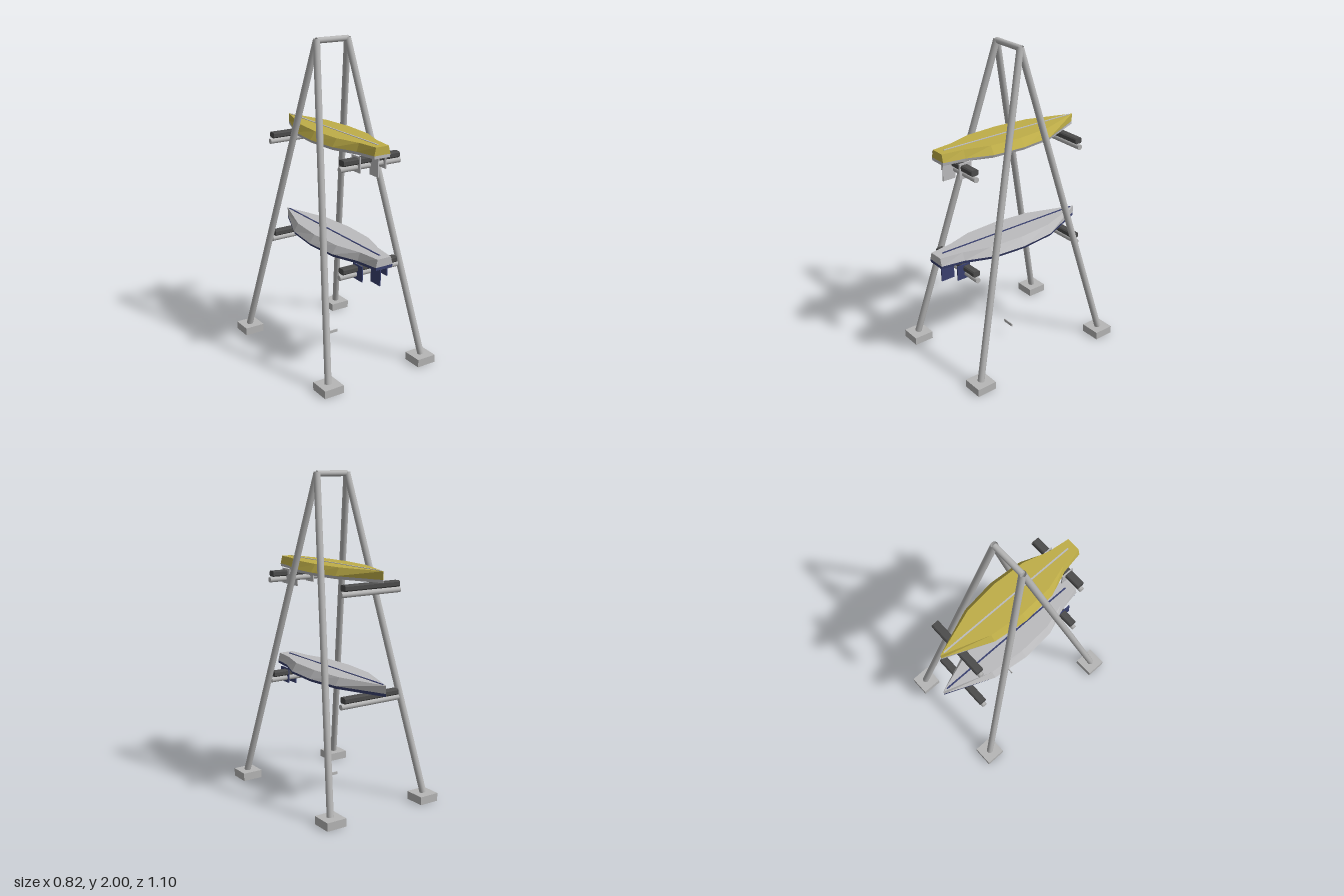
import * as THREE from 'three';

const mat = (name, color, side = THREE.FrontSide) => {
  const m = new THREE.MeshStandardMaterial({ color, side });
  m.name = name;
  return m;
};

export function createModel() {
  const steel = mat('steel grey', 0xb6b6b6, THREE.DoubleSide);
  const foam = mat('dark foam', 0x4c4c4c);
  const yellow = mat('board yellow', 0xbfae48);
  const pale = mat('board grey', 0xbcbcbe);
  const navy = mat('board navy', 0x3a4170);

  const root = new THREE.Group();
  root.name = 'boardRack';
  const add = (parent, name, geometry, material, x = 0, y = 0, z = 0) => {
    const mesh = new THREE.Mesh(geometry, material);
    mesh.name = name;
    mesh.position.set(x, y, z);
    parent.add(mesh);
    return mesh;
  };

  // Straight tube between two points
  const tube = (parent, name, a, b, r, open) => {
    const dir = b.clone().sub(a);
    const m = add(parent, name, new THREE.CylinderGeometry(r, r, dir.length(), 16, 1, open), steel);
    m.position.copy(a).add(b).multiplyScalar(0.5);
    m.quaternion.setFromUnitVectors(new THREE.Vector3(0, 1, 0), dir.normalize());
  };

  // Frame: four splayed legs, each in a hollow foot, and a ridge bar
  const footGeo = new THREE.BoxGeometry(0.13, 0.05, 0.13);
  const idx = Array.from(footGeo.index.array);
  idx.splice(18, 6); // open underside
  footGeo.setIndex(idx);
  footGeo.clearGroups();
  for (const sx of [1, -1]) for (const sz of [1, -1]) {
    const label = (sz > 0 ? 'front' : 'back') + (sx > 0 ? 'Left' : 'Right');
    tube(root, label + 'Leg', new THREE.Vector3(sx * 0.346, 0.05, sz * 0.485),
      new THREE.Vector3(sx * 0.108, 1.985, 0), 0.021, true);
    add(root, label + 'Foot', footGeo, steel, sx * 0.343, 0.025, sz * 0.484);
  }
  tube(root, 'ridgeBar', new THREE.Vector3(-0.108, 1.98, 0), new THREE.Vector3(0.108, 1.98, 0), 0.018, false);
  add(root, 'lowPlate', new THREE.BoxGeometry(0.08, 0.018, 0.006), steel, 0, 0.092, 0);

  // Padded support rail: steel bar with a chamfered foam block over it
  const padShape = new THREE.Shape();
  [[-0.025, -0.011], [-0.018, -0.018], [0.018, -0.018], [0.025, -0.011],
    [0.025, 0.011], [0.018, 0.018], [-0.018, 0.018], [-0.025, 0.011]]
    .forEach(([x, y], i) => (i ? padShape.lineTo(x, y) : padShape.moveTo(x, y)));
  const padGeo = new THREE.ExtrudeGeometry(padShape, { depth: 0.39, bevelEnabled: false });
  padGeo.translate(0, 0, -0.195).rotateY(Math.PI / 2);
  const rails = (level, name) => {
    for (const sz of [1, -1]) {
      const g = new THREE.Group();
      g.name = name + (sz > 0 ? 'FrontRail' : 'BackRail');
      g.position.set(0, level, sz * 0.393);
      tube(g, 'bar', new THREE.Vector3(-0.21, 0, 0), new THREE.Vector3(0.21, 0, 0), 0.017, false);
      add(g, 'pad', padGeo, foam, 0, 0.038, 0);
      root.add(g);
    }
  };
  rails(1.312, 'upper');
  rails(0.658, 'lower');

  // Board outline: z position and half width, nose to tail
  const outline = [[-0.546, 0.001], [-0.235, 0.138], [0, 0.167], [0.23, 0.151], [0.4, 0.085], [0.549, 0.06]];

  // Loft of four-sided sections along the outline
  const layer = (scale, y0, y1, k0, k1) => {
    const rings = outline.map(([z, w]) => {
      const a = w * k0 * scale, b = w * k1 * scale;
      return [[a, y0], [b, y1], [-b, y1], [-a, y0]].map(([x, y]) => [x, y, z * scale]);
    });
    const pos = [];
    const quad = (a, b, c, d) => pos.push(...a, ...b, ...d, ...b, ...c, ...d);
    for (let i = 0; i < rings.length - 1; i++) for (let j = 0; j < 4; j++) {
      const k = (j + 1) % 4;
      quad(rings[i][j], rings[i][k], rings[i + 1][k], rings[i + 1][j]);
    }
    quad(...rings[rings.length - 1]);
    quad(...rings[0].slice().reverse());
    const geo = new THREE.BufferGeometry();
    geo.setAttribute('position', new THREE.Float32BufferAttribute(pos, 3));
    geo.computeVertexNormals();
    return geo;
  };

  // Whole board: hull, bevelled deck, centre stringer and three fins
  const board = (name, y, scale, deckMat, hullMat, finMat) => {
    const g = new THREE.Group();
    g.name = name;
    g.position.y = y;
    add(g, 'hull', layer(scale, 0, 0.018, 0.95, 1), hullMat);
    add(g, 'deck', layer(scale, 0.018, 0.067, 1, 0.78), deckMat);
    add(g, 'stringer', new THREE.BoxGeometry(0.01, 0.006, 0.95 * scale / 0.93), finMat, 0, 0.067, -0.008);
    const fin = (label, x, z, drop) =>
      add(g, label, new THREE.BoxGeometry(0.007, drop, 0.091 * scale), finMat, x, -drop / 2, z * scale);
    fin('centreFin', 0, 0.468, 0.122);
    fin('leftFin', 0.09, 0.413, 0.096);
    fin('rightFin', -0.09, 0.413, 0.096);
    root.add(g);
  };
  board('upperBoard', 1.378, 0.932, yellow, pale, pale);
  board('lowerBoard', 0.723, 1, pale, navy, navy);

  return root;
}
